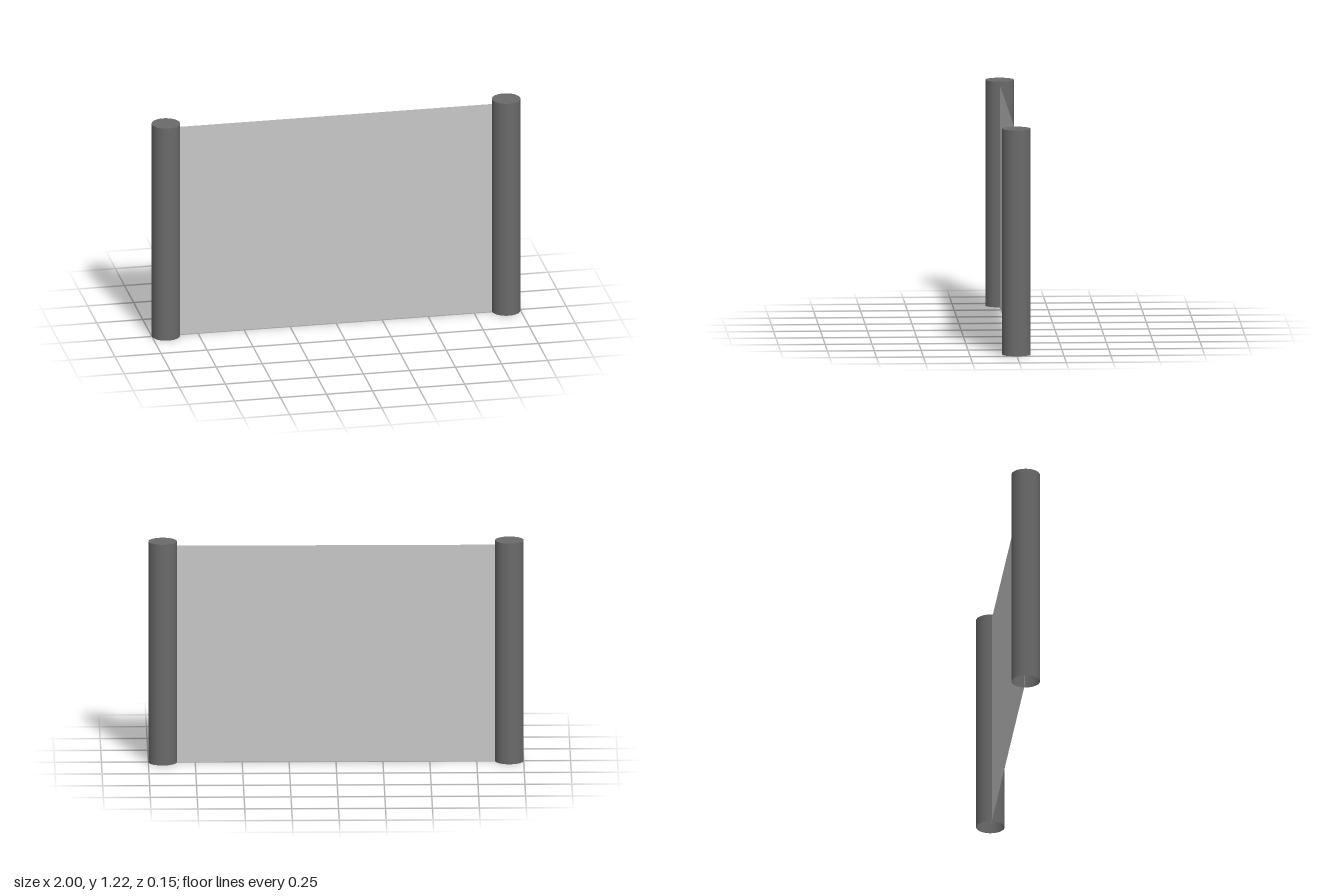
import * as THREE from 'three';

export function createModel() {
  const group = new THREE.Group();
  const postMat = new THREE.MeshStandardMaterial({ name: 'dark grey', color: 0x6a6a6a, side: THREE.DoubleSide });
  const panelMat = new THREE.MeshStandardMaterial({ name: 'light grey', color: 0xc8c8c8, side: THREE.DoubleSide });

  const radius = 0.076, height = 1.215, postX = 1 - radius;

  // Round posts: hollow tube with a cap on top, open at the bottom
  for (const [side, name] of [[1, 'leftPost'], [-1, 'rightPost']]) {
    const post = new THREE.Group();
    post.name = name;
    const tube = new THREE.Mesh(new THREE.CylinderGeometry(radius, radius, height, 48, 1, true), postMat);
    tube.name = 'postTube';
    tube.position.y = height / 2;
    const cap = new THREE.Mesh(new THREE.CircleGeometry(radius, 48), postMat);
    cap.name = 'postCap';
    cap.rotation.x = -Math.PI / 2;
    cap.position.y = height;
    post.add(tube, cap);
    post.position.x = side * postX;
    group.add(post);
  }

  // Flat sheet between the posts, its ends tucked just inside them
  const panelHeight = 1.19;
  const panel = new THREE.Mesh(new THREE.PlaneGeometry(1.78, panelHeight), panelMat);
  panel.name = 'panel';
  panel.position.y = panelHeight / 2;
  group.add(panel);

  return group;
}
